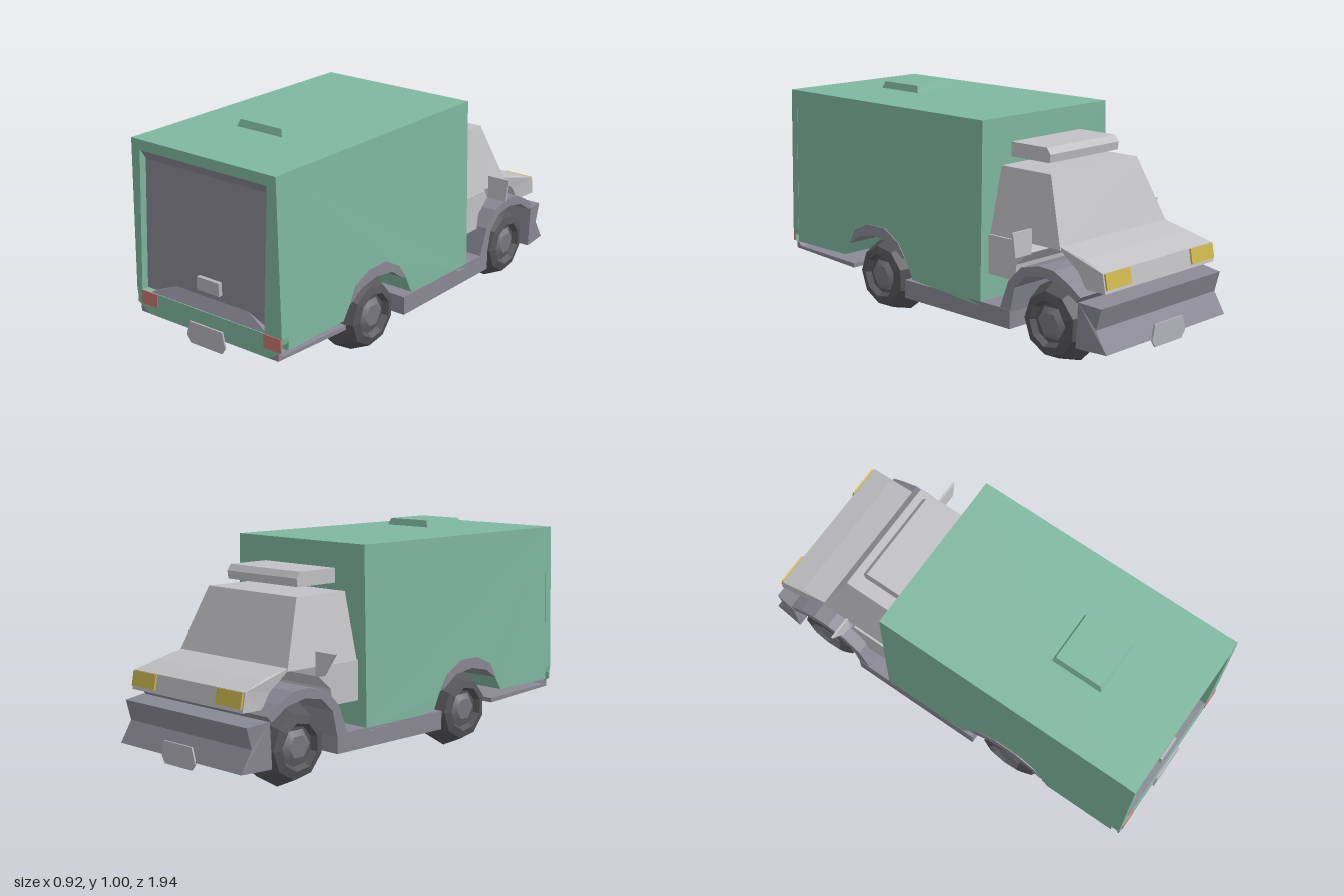
import * as THREE from 'three';

const mat = (name, color) => {
  const m = new THREE.MeshStandardMaterial({ color });
  m.name = name;
  return m;
};

export function createModel() {
  const green = mat('green paint', 0x7fb8a0);
  const cabGrey = mat('cab grey', 0xc2c2c6);
  const chassisGrey = mat('chassis grey', 0x8a8994);
  const tyreBlack = mat('tyre', 0x56565a);
  const hubGrey = mat('hub', 0x77777e);
  const yellow = mat('headlight yellow', 0xd0b94e);
  const red = mat('tail light red', 0xc9776c);
  const plateGrey = mat('plate grey', 0xb4b4bc);

  const van = new THREE.Group();
  van.name = 'van';
  const add = (name, geometry, material, parent = van) => {
    const mesh = new THREE.Mesh(geometry, material);
    mesh.name = name;
    parent.add(mesh);
    return mesh;
  };
  const shapeOf = (pts) => new THREE.Shape(pts.map(([x, y]) => new THREE.Vector2(x, y)));

  // Side profile of [z, y] points, extruded across the width of the van
  const across = (pts, width) => new THREE.ExtrudeGeometry(shapeOf(pts), { depth: width, bevelEnabled: false })
    .translate(0, 0, -width / 2).rotateY(-Math.PI / 2);
  // Outline of [x, y] points, facing along z
  const facing = (shape, z, depth) => new THREE.ExtrudeGeometry(shape, { depth, bevelEnabled: false })
    .translate(0, 0, z);
  // Scales x by a rule of y and z
  const taper = (geometry, rule) => {
    const p = geometry.attributes.position;
    for (let i = 0; i < p.count; i++) p.setX(i, p.getX(i) * rule(p.getY(i), p.getZ(i)));
    geometry.computeVertexNormals();
    return geometry;
  };
  const box = (x0, x1, y0, y1, z0, z1) => new THREE.BoxGeometry(x1 - x0, y1 - y0, z1 - z0)
    .translate((x0 + x1) / 2, (y0 + y1) / 2, (z0 + z1) / 2);

  // Cargo box with wheel arch cut-outs
  const rearArch = [[0.55, 0.3], [0.51, 0.37], [0.42, 0.41], [0.31, 0.41], [0.22, 0.36], [0.17, 0.29]];
  const narrowTop = (y) => 1 - 0.04 * Math.max(0, (y - 0.3) / 0.66);
  add('cargoBox', taper(across([
    [0.93, 0.96], [-0.29, 0.96], [-0.29, 0.18], [0.13, 0.21],
    ...rearArch.slice().reverse(), [0.59, 0.24], [0.93, 0.24],
  ], 0.8), narrowTop), green);

  // Rear door frame, recessed door and lower lip
  const frame = shapeOf([[-0.385, 0.96], [-0.4, 0.3], [-0.395, 0.27], [0.395, 0.27], [0.4, 0.3], [0.385, 0.96]]);
  frame.holes.push(shapeOf([[-0.34, 0.915], [-0.37, 0.3], [0.31, 0.3], [0.34, 0.915]]));
  add('rearFrame', facing(frame, 0.93, 0.038), green);
  add('rearLip', facing(shapeOf([[-0.395, 0.3], [-0.395, 0.24], [-0.33, 0.2], [0.33, 0.2], [0.395, 0.24], [0.395, 0.3]]), 0.96, 0.009), green);
  add('rearDoor', box(-0.37, 0.34, 0.3, 0.92, 0.925, 0.936), chassisGrey);
  add('doorHeader', across([[0.965, 0.916], [0.93, 0.916], [0.93, 0.862]], 0.68), chassisGrey);
  add('doorSill', taper(across([[0.965, 0.3], [0.93, 0.3], [0.93, 0.36]], 0.64),
    (y) => (y > 0.33 ? 0.55 : 1)), chassisGrey);
  add('doorHandle', box(-0.06, 0.06, 0.38, 0.437, 0.934, 0.955), plateGrey);
  add('tailLightRight', box(-0.37, -0.28, 0.24, 0.3, 0.964, 0.972), red);
  add('tailLightLeft', box(0.307, 0.397, 0.24, 0.3, 0.964, 0.972), red);

  // Number plates with cut corners
  const plate = (y0, y1) => shapeOf([[-0.11, y0 + 0.03], [-0.085, y0], [0.085, y0],
    [0.105, y0 + 0.03], [0.09, y1], [-0.09, y1]]);
  add('rearPlate', facing(plate(0.145, 0.24), 0.969, 0.008), plateGrey);
  add('frontPlate', facing(plate(0.085, 0.18), -0.968, 0.008), plateGrey);

  // Roof vent
  add('roofVent', new THREE.CylinderGeometry(0.155, 0.17, 0.03, 4, 1).rotateY(Math.PI / 4)
    .translate(0, 0.99, 0.51), green).geometry.computeVertexNormals();
  van.children.at(-1).geometry = van.children.at(-1).geometry.toNonIndexed();
  van.children.at(-1).geometry.computeVertexNormals();

  // Cab: tapered upper part, doors, bonnet and roof fairing
  add('cabTop', taper(across([[-0.285, 0.48], [-0.285, 0.76], [-0.565, 0.76], [-0.68, 0.48]], 0.68),
    (y) => 1 - 0.2 * (y - 0.48) / 0.28), cabGrey);
  add('cabDoors', across([[-0.285, 0.48], [-0.285, 0.31], [-0.44, 0.31], [-0.45, 0.38], [-0.52, 0.44], [-0.5, 0.48]], 0.7), cabGrey);
  add('bonnet', taper(across([[-0.66, 0.495], [-0.8, 0.465], [-0.91, 0.43], [-0.925, 0.35],
    [-0.81, 0.345], [-0.77, 0.41], [-0.68, 0.475]], 0.68), (y, z) => (z < -0.9 ? 1.03 : 0.98)), cabGrey);
  add('roofFairing', across([[-0.285, 0.79], [-0.285, 0.852], [-0.49, 0.852], [-0.51, 0.825], [-0.505, 0.79]], 0.43), cabGrey);

  // Wing mirrors
  add('mirrorRight', facing(shapeOf([[-0.462, 0.545], [-0.35, 0.545], [-0.35, 0.44], [-0.395, 0.45]]), -0.535, 0.01), cabGrey);
  add('mirrorLeft', facing(shapeOf([[0.46, 0.545], [0.35, 0.545], [0.35, 0.44], [0.445, 0.44]]), -0.535, 0.01), cabGrey);

  // Chassis: sills, spine, rear ramp and front bumper
  add('sills', box(-0.4, 0.4, 0.118, 0.2, -0.46, 0.18), chassisGrey);
  add('spine', box(-0.215, 0.215, 0.116, 0.2, -0.85, 0.55), chassisGrey);
  add('rearRamp', across([[0.968, 0.235], [0.94, 0.212], [0.55, 0.2], [0.55, 0.18], [0.968, 0.2]], 0.76), chassisGrey);
  add('frontBumper', taper(across([[-0.83, 0.31], [-0.935, 0.3], [-0.91, 0.21], [-0.965, 0.12], [-0.82, 0.12]], 0.8),
    (y, z) => (z < -0.9 ? 0.96 : 1)), chassisGrey);

  // Wheel arches, running across as well linings
  add('rearArch', across([...rearArch, [0.2, 0.3], [0.27, 0.35], [0.38, 0.365], [0.48, 0.345]], 0.806), chassisGrey);
  add('frontArch', across([
    [-0.4, 0.19], [-0.45, 0.32], [-0.52, 0.39], [-0.62, 0.415], [-0.7, 0.41], [-0.78, 0.37], [-0.84, 0.33],
    [-0.82, 0.305], [-0.74, 0.355], [-0.64, 0.375], [-0.55, 0.36], [-0.485, 0.3], [-0.46, 0.19],
  ], 0.796), chassisGrey);

  for (const side of [-1, 1]) {
    const name = side > 0 ? 'Left' : 'Right';
    // Headlight on the nose
    const x = side * 0.27;
    add('headlight' + name, box(x - 0.075, x + 0.075, 0.365, 0.43, -0.004, 0.004)
      .translate(0, -0.3975, 0).rotateX(0.18).translate(0, 0.3975, -0.922), yellow);

    // Low-poly wheels with a sunken hub
    for (const [end, z] of [['rear', 0.365], ['front', -0.655]]) {
      const wheel = new THREE.Group();
      wheel.name = end + 'Wheel' + name;
      wheel.position.set(0, 0.178, z);
      wheel.rotation.y = side > 0 ? 0 : Math.PI;
      const profile = [[0, 0.185], [0.15, 0.185], [0.178, 0.28], [0.135, 0.375], [0.1, 0.385], [0.085, 0.36], [0, 0.36]]
        .map(([r, a]) => new THREE.Vector2(r, a));
      const tyre = new THREE.LatheGeometry(profile, 9).rotateZ(-Math.PI / 2).toNonIndexed();
      tyre.computeVertexNormals();
      add('tyre', tyre, tyreBlack, wheel);
      add('hub', new THREE.CylinderGeometry(0.05, 0.08, 0.02, 6).rotateZ(-Math.PI / 2).translate(0.367, 0, 0), hubGrey, wheel);
      van.add(wheel);
    }
  }
  return van;
}
